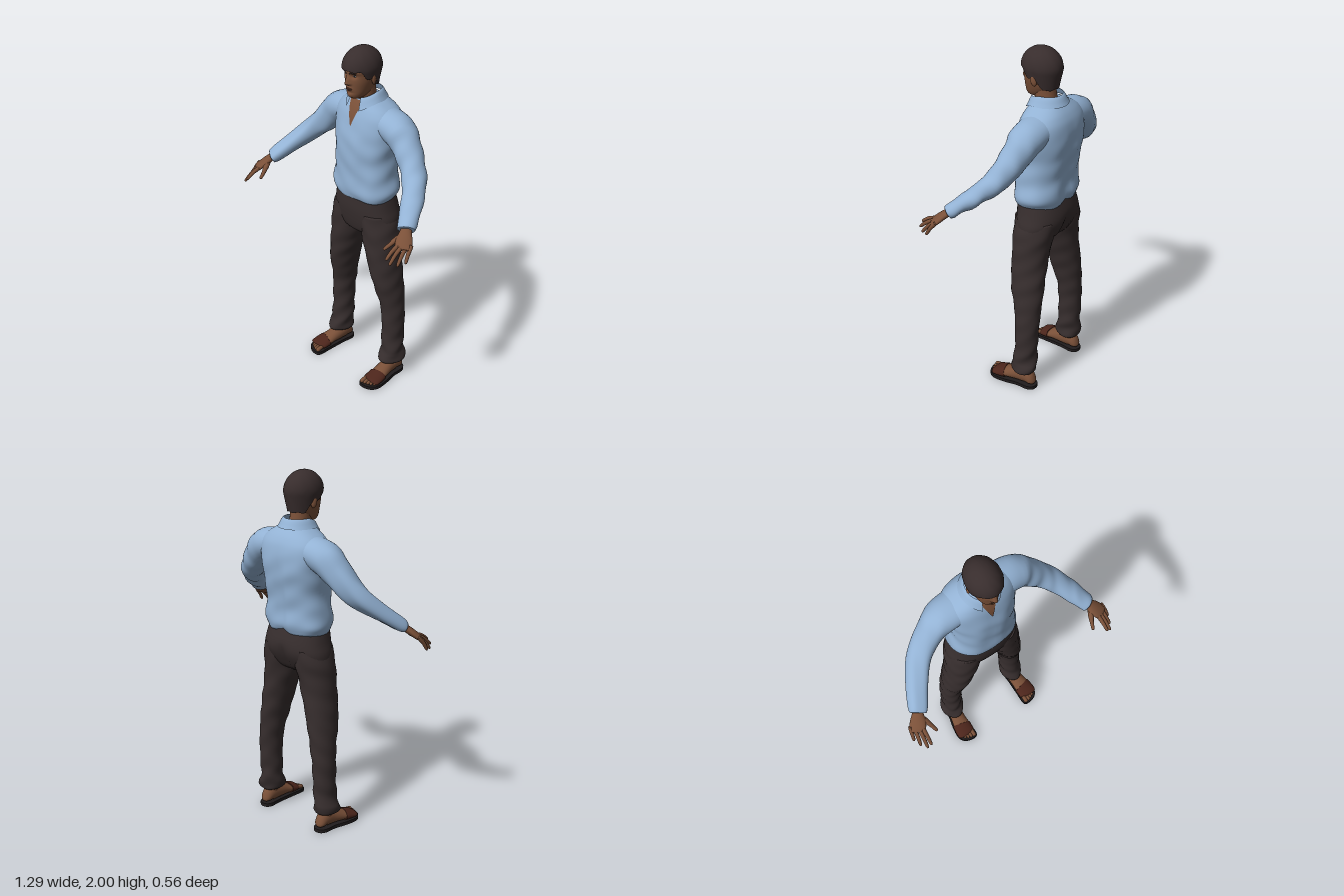
import * as THREE from 'three';

const V3 = THREE.Vector3, ss = THREE.MathUtils.smoothstep;
const material = (name, color, side = THREE.FrontSide) => {
  const m = new THREE.MeshStandardMaterial({ color, side });
  m.name = name;
  return m;
};
const gauss = (d, w) => Math.exp(-(d * d) / (w * w));

function meshOf(name, mat, pos, index) {
  const g = new THREE.BufferGeometry();
  g.setAttribute('position', new THREE.Float32BufferAttribute(pos, 3));
  g.setIndex(index);
  g.computeVertexNormals();
  const m = new THREE.Mesh(g, mat);
  m.name = name;
  return m;
}

// Smooth closed skin over oval rings [x, y, z, halfWidth, halfDepth]
function loft(name, mat, rings, { seg = 24, steps = 4, upright = false, power = 1, warp } = {}) {
  const rows = [], n = rings.length;
  for (let i = 0; i < n - 1; i++) {
    const [a, b, c, d] = [rings[Math.max(i - 1, 0)], rings[i], rings[i + 1], rings[Math.min(i + 2, n - 1)]];
    for (let s = 0; s < steps + (i === n - 2 ? 1 : 0); s++) {
      const t = s / steps;
      rows.push(b.map((_, k) => {
        const m0 = (c[k] - a[k]) / 2, m1 = (d[k] - b[k]) / 2, t2 = t * t, t3 = t2 * t;
        return (2 * t3 - 3 * t2 + 1) * b[k] + (t3 - 2 * t2 + t) * m0 + (3 * t2 - 2 * t3) * c[k] + (t3 - t2) * m1;
      }));
    }
  }
  const pos = [], index = [], last = rows.length - 1;
  const bend = (v) => Math.sign(v) * Math.abs(v) ** power;
  rows.forEach((r, i) => {
    const p = rows[Math.max(i - 1, 0)], q = rows[Math.min(i + 1, last)];
    const T = new V3(q[0] - p[0], q[1] - p[1], q[2] - p[2]).normalize();
    const u = upright ? new V3(1, 0, 0) : T.clone().cross(new V3(0, 1, 0)).normalize();
    const v = upright ? new V3(0, 0, -1) : T.clone().cross(u);
    for (let j = 0; j < seg; j++) {
      const ang = (j / seg) * Math.PI * 2;
      const pt = new V3(r[0], r[1], r[2]).addScaledVector(u, r[3] * bend(Math.cos(ang))).addScaledVector(v, r[4] * bend(Math.sin(ang)));
      if (warp) warp(pt);
      pos.push(pt.x, pt.y, pt.z);
      if (i < last) {
        const a = i * seg + j, b = i * seg + ((j + 1) % seg);
        index.push(a, b, b + seg, a, b + seg, a + seg);
      }
    }
  });
  const c0 = pos.length / 3;
  pos.push(...rows[0].slice(0, 3), ...rows[last].slice(0, 3));
  for (let j = 0; j < seg; j++) {
    const k = (j + 1) % seg;
    index.push(c0, k, j, c0 + 1, last * seg + j, last * seg + k);
  }
  return meshOf(name, mat, pos, index);
}

// Rows [y, x, halfWidth, zFront, zBack] for upright lofts
const upright = (rows) => rows.map(([y, x, w, f, b]) => [x, y, (f + b) / 2, w, (f - b) / 2]);

// Open surface from f(u, v)
function grid(name, mat, nu, nv, f) {
  const pos = [], index = [];
  for (let i = 0; i <= nv; i++) for (let j = 0; j <= nu; j++) {
    pos.push(...f(j / nu, i / nv));
    if (i < nv && j < nu) {
      const a = i * (nu + 1) + j, b = a + nu + 1;
      index.push(a, a + 1, b + 1, a, b + 1, b);
    }
  }
  return meshOf(name, mat, pos, index);
}

// Front surface depth of a mesh at x, y
function frontZ(mesh, x, y) {
  const hit = new THREE.Raycaster(new V3(x, y, 1), new V3(0, 0, -1)).intersectObject(mesh)[0];
  return hit ? hit.point.z : -0.06;
}

export function createModel() {
  const model = new THREE.Group();
  model.name = 'standingMan';
  const skin = material('skin', 0x7a5038);
  const shirt = material('shirt blue', 0x93b2d4, THREE.DoubleSide);
  const cloth = material('trouser brown', 0x372e2e);
  const hairMat = material('hair dark', 0x382d2d, THREE.DoubleSide);
  const strapMat = material('strap leather', 0x4c251b);
  const soleMat = material('sole black', 0x201c1d);
  const lipMat = material('lip', 0x683f31);
  const white = material('eye white', 0xa8adb0);
  const iris = material('iris', 0x2a2e36);
  const add = (m) => (model.add(m), m);
  const ball = (name, mat, p, s, rot = [0, 0, 0]) => {
    const m = add(new THREE.Mesh(new THREE.SphereGeometry(1, 18, 12), mat));
    m.name = name;
    m.position.set(...p);
    m.scale.set(...s);
    m.rotation.set(...rot);
  };

  // Shirt body with soft folds and a shallow spine groove
  const torso = add(loft('shirtBody', shirt, upright([
    [1.145, 0, 0.183, 0.015, -0.24], [1.16, 0, 0.193, 0.022, -0.25], [1.2, 0, 0.205, 0.028, -0.26],
    [1.28, 0, 0.192, 0.024, -0.256], [1.38, 0, 0.186, 0.026, -0.268], [1.48, 0, 0.197, 0.022, -0.282],
    [1.56, 0, 0.208, 0.006, -0.28], [1.62, 0, 0.205, -0.008, -0.268], [1.66, 0, 0.175, -0.022, -0.25],
    [1.69, 0, 0.13, -0.036, -0.228], [1.715, 0, 0.085, -0.052, -0.2], [1.725, 0, 0.05, -0.07, -0.17]]),
  { seg: 56, steps: 6, upright: true, power: 0.86, warp: (p) => {
    const back = ss(-p.z, 0.13, 0.24), low = ss(1.66 - p.y, 0, 0.2);
    p.z += back * low * 0.014 * gauss(p.x, 0.035);
    p.z += low * 0.004 * Math.sin(p.x * 38 + p.y * 21) * Math.sin(p.y * 27 - p.x * 9);
    p.x += low * 0.003 * Math.sin(p.y * 45 + p.z * 20);
    p.y += ss(1.2 - p.y, 0, 0.05) * 0.004 * Math.sin(p.x * 30 + p.z * 22);
  } }));

  // Open neck, collar and neck
  add(grid('openNeckSkin', skin, 8, 10, (u, v) => {
    const y = 1.565 + v * 0.145, x = (u - 0.5) * 0.1 * v;
    return [x, y, frontZ(torso, x, y) + 0.004];
  }));
  add(grid('collar', shirt, 48, 6, (u, v) => {
    const th = 0.45 + u * (Math.PI * 2 - 0.9), front = Math.max(0, Math.cos(th));
    const r = 0.108 - 0.034 * v ** 0.8, yLow = 1.708 - 0.052 * front ** 2, yTop = 1.757 - 0.03 * front;
    return [Math.sin(th) * r, yLow + (yTop - yLow) * Math.sin(v * Math.PI / 2), -0.115 + Math.cos(th) * (r + 0.008)];
  }));
  add(loft('neck', skin, upright([[1.62, 0, 0.06, -0.06, -0.19], [1.7, 0, 0.057, -0.052, -0.172],
    [1.75, 0, 0.055, -0.04, -0.162], [1.8, 0, 0.055, -0.04, -0.155]]), { upright: true }));

  // Head with brow, nose, lips and chin shaped on the front
  const head = add(loft('head', skin, upright([
    [1.724, 0, 0.018, -0.02, -0.06], [1.733, 0, 0.036, 0.002, -0.09], [1.755, 0, 0.052, 0.013, -0.125],
    [1.79, 0, 0.066, 0.016, -0.155], [1.825, 0, 0.075, 0.019, -0.165], [1.86, 0, 0.08, 0.02, -0.178],
    [1.9, 0, 0.082, 0.022, -0.182], [1.94, 0, 0.074, 0.006, -0.168], [1.97, 0, 0.05, -0.03, -0.13]]),
  { seg: 72, steps: 8, upright: true, power: 0.94, warp: (p) => {
    if (p.z < -0.05) return;
    const f = ss(p.z, -0.05, 0), ax = Math.abs(p.x);
    const bridge = ss(p.y, 1.806, 1.818) * (1 - ss(p.y, 1.818, 1.88));
    p.z += f * (0.025 * bridge * gauss(p.x, 0.013) + 0.006 * gauss(ax - 0.013, 0.007) * gauss(p.y - 1.817, 0.009)
      - 0.011 * gauss(ax - 0.031, 0.016) * gauss(p.y - 1.862, 0.012) + 0.004 * gauss(p.y - 1.882, 0.01)
      + 0.007 * gauss(p.x, 0.02) * gauss(p.y - 1.787, 0.011) + 0.005 * gauss(p.x, 0.018) * gauss(p.y - 1.748, 0.012)
      - 0.004 * gauss(p.x, 0.025) * gauss(p.y - 1.767, 0.006));
  } }));
  const onFace = (x, y, lift) => [x, y, frontZ(head, x, y) + lift];
  for (const y of [1.7905, 1.783]) add(loft('lip', lipMat, [-0.022, -0.011, 0, 0.011, 0.022].map((x, i) => {
    const w = [0.001, 0.003, 0.004, 0.003, 0.001][i];
    return [...onFace(x, y, 0), w, w];
  }), { seg: 10 }));
  for (const s of [-1, 1]) {
    ball('eye', white, onFace(s * 0.031, 1.862, -0.003), [0.013, 0.0055, 0.006], [0, s * 0.3, 0]);
    ball('iris', iris, onFace(s * 0.031, 1.862, 0.0005), [0.005, 0.005, 0.0035]);
    add(loft('eyebrow', hairMat, [0.014, 0.03, 0.048].map((x, i) =>
      [...onFace(s * x, 1.877 + [0, 0.004, 0][i], 0), 0.003, 0.0035]), { seg: 8 }));
    ball('ear', skin, [s * 0.083, 1.838, -0.085], [0.01, 0.03, 0.017], [0.15, s * 0.3, 0]);
  }

  // Short hair with fringe, sideburns and nape
  add(grid('hair', hairMat, 64, 24, (u, v) => {
    const th = (u - 0.5) * Math.PI * 2, c = Math.cos(th);
    const edge = 1.845 + 0.046 * ss(c, 0.3, 0.7) - 0.058 * ss(-c, 0.1, 0.6) + 0.003 * Math.sin(th * 9);
    const k = Math.max(0, (v - 0.08) / 0.92);
    const phi = (1 - k) * Math.acos(Math.max(-1, (edge - 1.89) / 0.11));
    const y = 1.89 + 0.11 * Math.cos(phi);
    let r = y > 1.89 ? Math.sin(phi) : 1 - 1.8 * (1.89 - y);
    r *= v < 0.04 ? 0.84 : 1 + 0.008 * Math.sin(th * 11 + y * 50) * Math.sin(phi);
    return [Math.sin(th) * 0.095 * r, y, -0.079 + c * 0.117 * r];
  }));

  // Trouser seat
  add(loft('trouserSeat', cloth, upright([
    [0.905, 0, 0.05, -0.06, -0.16], [0.93, 0, 0.14, -0.02, -0.2], [0.97, 0, 0.205, -0.004, -0.228],
    [1.03, 0, 0.213, 0.008, -0.255], [1.09, 0, 0.198, 0.014, -0.256], [1.17, 0, 0.18, 0.012, -0.235]]),
  { seg: 40, upright: true, power: 0.88, warp: (p) => {
    p.z += 0.018 * gauss(p.x, 0.025) * ss(-p.z, 0.15, 0.23) * (1 - ss(p.y, 1.02, 1.1));
  } }));

  const knuckles = [[0.57, 1.158, 0.2], [0.588, 1.155, 0.19], [0.607, 1.153, 0.174], [0.625, 1.155, 0.157]];
  const tips = [[0.575, 1.115, 0.278], [0.598, 1.094, 0.276], [0.621, 1.084, 0.242], [0.637, 1.09, 0.2]];
  for (const s of [-1, 1]) {
    const side = s > 0 ? 'left' : 'right';
    const flip = (rings) => rings.map(([x, ...r]) => [x * s, ...r]);

    // Sleeve
    add(loft(side + 'Sleeve', shirt, flip([
      [0.12, 1.6, -0.14, 0.1, 0.08], [0.22, 1.573, -0.14, 0.094, 0.088], [0.29, 1.512, -0.13, 0.08, 0.08],
      [0.36, 1.437, -0.105, 0.07, 0.068], [0.42, 1.375, -0.065, 0.065, 0.058], [0.485, 1.3, 0.015, 0.058, 0.046],
      [0.533, 1.238, 0.09, 0.052, 0.04], [0.548, 1.218, 0.115, 0.045, 0.032]]),
    { seg: 32, steps: 6, warp: (p) => {
      const k = ss(Math.abs(p.x), 0.2, 0.3) * 0.004;
      p.y += k * Math.sin(p.x * 60 + p.z * 35);
      p.z += k * Math.sin(p.x * 48 - p.y * 30);
    } }));

    // Hand
    add(loft(side + 'Palm', skin, flip([[0.53, 1.238, 0.09, 0.028, 0.02], [0.552, 1.213, 0.118, 0.03, 0.02],
      [0.572, 1.187, 0.148, 0.042, 0.019], [0.594, 1.16, 0.176, 0.044, 0.016], [0.602, 1.15, 0.188, 0.034, 0.01]])));
    knuckles.forEach((k, i) => {
      const at = (t, up, r) => [...k.map((c, a) => c + (tips[i][a] - c) * t + (a === 1 ? up : 0)), r, r];
      add(loft(side + 'Finger', skin, flip([at(-0.25, 0, 0.01), at(0, 0.002, 0.0115), at(0.45, 0.008, 0.0105),
        at(0.9, 0.003, 0.0085), at(1, 0, 0.004)]), { seg: 12 }));
    });
    add(loft(side + 'Thumb', skin, flip([[0.556, 1.2, 0.13, 0.014, 0.014], [0.536, 1.178, 0.168, 0.016, 0.014],
      [0.522, 1.152, 0.2, 0.011, 0.011], [0.512, 1.134, 0.228, 0.009, 0.008], [0.51, 1.13, 0.234, 0.004, 0.004]]), { seg: 12 }));

    // Trouser leg with a gathered hem
    add(loft(side + 'TrouserLeg', cloth, flip(upright([
      [0.105, 0.222, 0.058, -0.05, -0.192], [0.118, 0.223, 0.067, -0.042, -0.2], [0.15, 0.222, 0.067, -0.05, -0.202],
      [0.19, 0.217, 0.062, -0.06, -0.198], [0.28, 0.214, 0.061, -0.068, -0.202], [0.4, 0.212, 0.063, -0.066, -0.208],
      [0.5, 0.202, 0.067, -0.058, -0.212], [0.6, 0.188, 0.073, -0.03, -0.216], [0.7, 0.17, 0.082, -0.014, -0.216],
      [0.8, 0.149, 0.091, -0.006, -0.215], [0.9, 0.13, 0.103, -0.002, -0.22], [0.98, 0.12, 0.104, 0, -0.235],
      [1.06, 0.11, 0.09, 0, -0.238]])),
    { seg: 32, steps: 5, upright: true, warp: (p) => {
      const k = 0.002 + 0.003 * (1 - ss(p.y, 0.15, 0.35));
      p.x += k * Math.sin(p.y * 55 + p.z * 30);
      p.z += k * Math.sin(p.y * 48 + p.x * 40 * s);
    } }));

    // Foot, rings from heel to toes as [z, x, halfWidth, height]
    const footRings = (rows, grow = 0) => flip(rows.map(([z, x, w, h]) => [x, 0.018 + h / 2, z, w + grow, h / 2 + grow]));
    add(loft(side + 'Foot', skin, footRings([[-0.188, 0.22, 0.015, 0.02], [-0.178, 0.22, 0.032, 0.05],
      [-0.14, 0.22, 0.039, 0.1], [-0.09, 0.222, 0.041, 0.09], [-0.04, 0.228, 0.045, 0.07],
      [0.01, 0.233, 0.051, 0.048], [0.045, 0.235, 0.051, 0.034], [0.06, 0.235, 0.045, 0.02]])));
    add(loft(side + 'Ankle', skin, flip(upright([[0.05, 0.22, 0.036, -0.08, -0.175], [0.1, 0.22, 0.039, -0.085, -0.172],
      [0.18, 0.22, 0.042, -0.085, -0.175]])), { upright: true }));
    [[0.199, 0.1, 0.0125], [0.22, 0.097, 0.0095], [0.238, 0.09, 0.009], [0.255, 0.081, 0.0085], [0.271, 0.068, 0.008]]
      .forEach(([x, z, r]) => add(loft(side + 'Toe', skin, flip([[x, 0.03, 0.02, r, r], [x, 0.034, z - 0.035, r, r],
        [x, 0.028, z - 0.008, r, r], [x, 0.026, z, r * 0.5, r * 0.5]]), { seg: 12 })));

    // Sandal strap and sole
    add(loft(side + 'SandalStrap', strapMat, footRings([[-0.006, 0.231, 0.049, 0.054], [0.0, 0.232, 0.05, 0.052],
      [0.03, 0.235, 0.051, 0.041], [0.052, 0.236, 0.05, 0.033], [0.056, 0.236, 0.046, 0.028]], 0.005)));
    const outline = [[0.178, 0.07], [0.184, 0.098], [0.208, 0.106], [0.245, 0.1], [0.276, 0.08], [0.291, 0.04],
      [0.283, -0.03], [0.266, -0.1], [0.262, -0.17], [0.24, -0.202], [0.2, -0.202], [0.179, -0.17], [0.183, -0.1], [0.181, 0]];
    const curve = new THREE.SplineCurve([...outline, outline[0]].map(([x, z]) => new THREE.Vector2(x * s, -z)));
    const sole = new THREE.ExtrudeGeometry(new THREE.Shape(curve.getPoints(56)), { depth: 0.02, bevelEnabled: false });
    sole.rotateX(-Math.PI / 2);
    const soleMesh = add(new THREE.Mesh(sole, soleMat));
    soleMesh.name = side + 'SandalSole';
  }
  return model;
}
